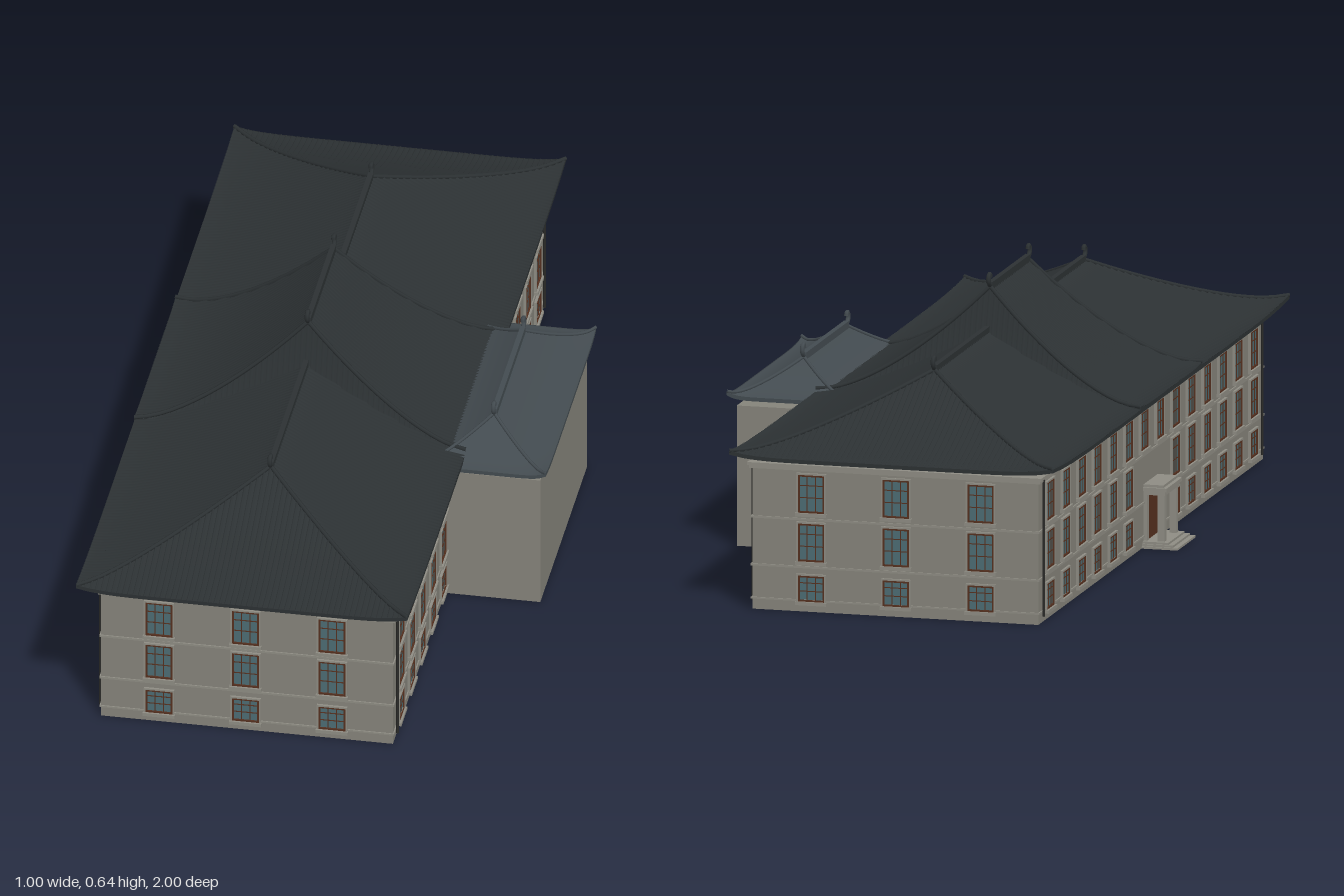
import * as THREE from 'three';
import { mergeGeometries } from 'three/addons/utils/BufferGeometryUtils.js';

const WALL = 0x85837a, TRIM = 0x8e8c83, TILE = 0x2c3133, SLATE = 0x434b50;
const WOOD = 0x55301f, GLASS = 0x4c6c73, DARK = 0x2a2a28;

// box given by its low and high corners
function box(x0, x1, y0, y1, z0, z1) {
  return new THREE.BoxGeometry(x1 - x0, y1 - y0, z1 - z0)
    .translate((x0 + x1) / 2, (y0 + y1) / 2, (z0 + z1) / 2);
}

function part(parent, name, color, geos, opts = {}) {
  const mesh = new THREE.Mesh(mergeGeometries(geos),
    new THREE.MeshStandardMaterial({ color, ...opts }));
  mesh.name = name;
  parent.add(mesh);
}

// grid of points fn(i, j) turned into a surface
function grid(nu, nv, fn) {
  const pos = [], idx = [];
  for (let j = 0; j <= nv; j++)
    for (let i = 0; i <= nu; i++) pos.push(...fn(i / nu, j / nv).toArray());
  for (let j = 0; j < nv; j++)
    for (let i = 0; i < nu; i++) {
      const a = j * (nu + 1) + i, b = a + nu + 1;
      idx.push(a, b, a + 1, a + 1, b, b + 1);
    }
  const g = new THREE.BufferGeometry();
  g.setAttribute('position', new THREE.Float32BufferAttribute(pos, 3));
  g.setIndex(idx);
  g.computeVertexNormals();
  return g;
}

const V = (x, y, z) => new THREE.Vector3(x, y, z);
function tube(points, r, segs = 10) {
  return new THREE.TubeGeometry(new THREE.CatmullRomCurve3(points), segs, r, 6);
}

// Curved hip roof with ridge along z; tile ribs are added when pitch > 0
function hipRoof(name, color, o) {
  const group = new THREE.Group();
  group.name = name;
  // side k: 0 = +z end, 1 = +x slope, 2 = -z end, 3 = -x slope; s along eave, t from ridge to eave
  const dims = k => {
    const end = k % 2 === 0;
    return end ? { r0: o.ridge, r1: o.hz, w0: 0, w1: o.hx }
      : { r0: 0, r1: o.hx, w0: o.ridge, w1: o.hz };
  };
  const at = (k, s, t, dy = 0) => {
    const d = dims(k), w = d.w0 + (d.w1 - d.w0) * t;
    const u = Math.min(1, w > 0 ? Math.abs(s) / w : 0);
    const y = o.eave + (o.top - o.eave) * Math.pow(1 - t, o.pow) + o.lift * u ** 8 * t ** 8 + dy;
    return V(s, y, d.r0 + (d.r1 - d.r0) * t)
      .applyAxisAngle(V(0, 1, 0), k * Math.PI / 2).add(V(o.x, 0, 0));
  };
  const skin = [], fascia = [], ribs = [], hips = [];
  for (let k = 0; k < 4; k++) {
    const d = dims(k);
    skin.push(grid(24, 16, (a, t) => at(k, (2 * a - 1) * (d.w0 + (d.w1 - d.w0) * t), t)));
    fascia.push(grid(24, 1, (a, b) => at(k, (2 * a - 1) * d.w1, 1, 0.002 - 0.009 * b)));
    // hip rolls from ridge end to corner
    const hip = [];
    for (let i = 0; i <= 10; i++) hip.push(at(k, d.w0 + (d.w1 - d.w0) * i / 10, i / 10, 0.002));
    hips.push(tube(hip, o.roll, 16));
    // parallel rows of tiles running down the slope
    if (!o.pitch) continue;
    const n = Math.floor(d.w1 / o.pitch), h = o.pitch * 0.25;
    for (let i = -n; i <= n; i++) {
      const s = i * o.pitch;
      if (Math.abs(s) > d.w1 - h) continue;
      const t0 = Math.max(0, (Math.abs(s) - d.w0) / (d.w1 - d.w0));
      ribs.push(grid(2, 8, (a, b) =>
        at(k, s + (2 * a - 1) * h, t0 + (1 - t0) * b, a === 0.5 ? 0.0035 : 0)));
    }
  }
  const thin = { side: THREE.DoubleSide };
  part(group, 'roofSurface', color, skin, thin);
  part(group, 'eaveEdge', color, fascia, thin);
  part(group, 'hipRolls', color, hips);
  if (ribs.length) part(group, 'tileRows', color, ribs, thin);
  // ridge beam with a curled finial at each end
  const ridge = [box(o.x - 0.006, o.x + 0.006, o.top - 0.01, o.top + 0.012, -o.ridge, o.ridge)];
  part(group, 'ridgeBeam', color, ridge);
  const curls = [-1, 1].map(m => tube(
    [[-0.012, 0.004], [0.004, 0.006], [0.014, 0.016], [0.012, 0.028], [0.002, 0.031], [0, 0.023]]
      .map(([z, y]) => V(o.x, o.top + y, m * (o.ridge + z))), 0.0055, 16));
  part(group, 'ridgeFinials', color, curls);
  return group;
}

export function createModel() {
  const model = new THREE.Group();

  // walls
  const X0 = -0.415, X1 = 0.26, Z = 0.95;
  part(model, 'mainWalls', WALL, [box(X0, X1, 0, 0.33, -Z, Z)]);
  part(model, 'rearWing', WALL, [box(X1, 0.48, 0, 0.326, -0.293, 0.293)]);

  // string courses and cornice
  const bands = [[0.024, 0.028, 0.003], [0.101, 0.106, 0.003], [0.212, 0.217, 0.003],
    [0.328, 0.335, 0.006], [0.335, 0.342, 0.01]];
  part(model, 'stringCourses', TRIM, bands.map(([a, b, e]) => box(X0 - e, X1 + e, a, b, -Z - e, Z + e)));

  // downpipes near the corners
  const pipes = [];
  for (const x of [X0 - 0.006, X1 + 0.006])
    for (const z of [-0.925, 0.925])
      pipes.push(new THREE.CylinderGeometry(0.003, 0.003, 0.32, 8).translate(x, 0.175, z));
  part(model, 'downpipes', DARK, pipes);

  // windows, collected by material
  const glass = [], frames = [], stone = [];
  const rows = [[0.024, 0.084], [0.117, 0.205], [0.23, 0.318]];
  function addWindow(x, z, turn, [y0, y1]) {
    const m = new THREE.Matrix4().makeRotationY(turn).setPosition(x, 0, z);
    const put = (list, ...b) => list.push(box(...b).applyMatrix4(m));
    const w = 0.031, f = 0.004, h = y1 - y0;
    put(glass, -w, w, y0, y1, -0.002, 0.0015);
    for (const s of [-1, 1]) {
      put(frames, s * (w - f / 2) - f / 2, s * (w - f / 2) + f / 2, y0, y1, 0, 0.005);
      put(frames, s * 0.01 - 0.001, s * 0.01 + 0.001, y0, y1, 0, 0.003);
      put(stone, s * (w + 0.002) - 0.002, s * (w + 0.002) + 0.002, y0, y1, 0, 0.006);
    }
    put(frames, -w, w, y0, y0 + f, 0, 0.005);
    put(frames, -w, w, y1 - f, y1, 0, 0.005);
    for (const q of [0.4, 0.72]) put(frames, -w, w, y0 + h * q - 0.001, y0 + h * q + 0.001, 0, 0.003);
    put(stone, -w - 0.004, w + 0.004, y1, y1 + 0.004, 0, 0.006);
    put(stone, -w - 0.006, w + 0.006, y0 - 0.008, y0, 0, 0.01);
  }
  rows.forEach((row, level) => {
    for (const x of [-0.28, -0.08, 0.12]) {
      addWindow(x, Z, 0, row);
      addWindow(x, -Z, Math.PI, row);
    }
    for (let i = 0; i < 7; i++)
      for (const s of [-1, 1]) {
        const z = s * (0.066 + 0.1325 * i);
        if (i >= 2) addWindow(X1, z, Math.PI / 2, row);
        if (level === 2 || i > 0) addWindow(X0, z, -Math.PI / 2, row);
      }
  });
  part(model, 'windowGlass', GLASS, glass);
  part(model, 'windowFrames', WOOD, frames);
  part(model, 'windowSurrounds', TRIM, stone);

  // entrance: steps, pillars, canopy and double door
  const porch = new THREE.Group();
  porch.name = 'entrance';
  model.add(porch);
  part(porch, 'steps', TRIM, [0, 1, 2].map(i =>
    box(-0.5 + i * 0.012, X0, i * 0.005, i * 0.005 + 0.005, -0.076 + i * 0.004, 0.076 - i * 0.004)));
  const pillars = [];
  for (const s of [-1, 1]) {
    pillars.push(box(-0.464, -0.448, 0.01, 0.126, s * 0.05 - 0.008, s * 0.05 + 0.008));
    pillars.push(box(X0 - 0.008, X0, 0.01, 0.126, s * 0.05 - 0.008, s * 0.05 + 0.008));
  }
  part(porch, 'pillars', TRIM, pillars);
  part(porch, 'canopy', TRIM, [box(-0.466, X0, 0.122, 0.132, -0.06, 0.06),
    box(-0.471, X0, 0.132, 0.14, -0.066, 0.066), box(-0.462, X0, 0.14, 0.146, -0.06, 0.06)]);
  part(porch, 'doors', WOOD, [-1, 1].map(s =>
    box(X0 - 0.006, X0, 0.015, 0.122, s * 0.019 - 0.018, s * 0.019 + 0.018)));

  // roofs
  model.add(hipRoof('mainRoof', TILE, { x: -0.081, hx: 0.383, hz: 0.998, ridge: 0.63,
    eave: 0.36, top: 0.508, pow: 1.4, lift: 0.012, roll: 0.005, pitch: 0.0125 }));
  model.add(hipRoof('centralRoof', TILE, { x: -0.081, hx: 0.384, hz: 0.262, ridge: 0.16,
    eave: 0.362, top: 0.606, pow: 1.6, lift: 0.006, roll: 0.005, pitch: 0.0125 }));
  model.add(hipRoof('rearWingRoof', SLATE, { x: 0.353, hx: 0.144, hz: 0.318, ridge: 0.18,
    eave: 0.35, top: 0.422, pow: 1.5, lift: 0.011, roll: 0.004, pitch: 0 }));
  return model;
}
